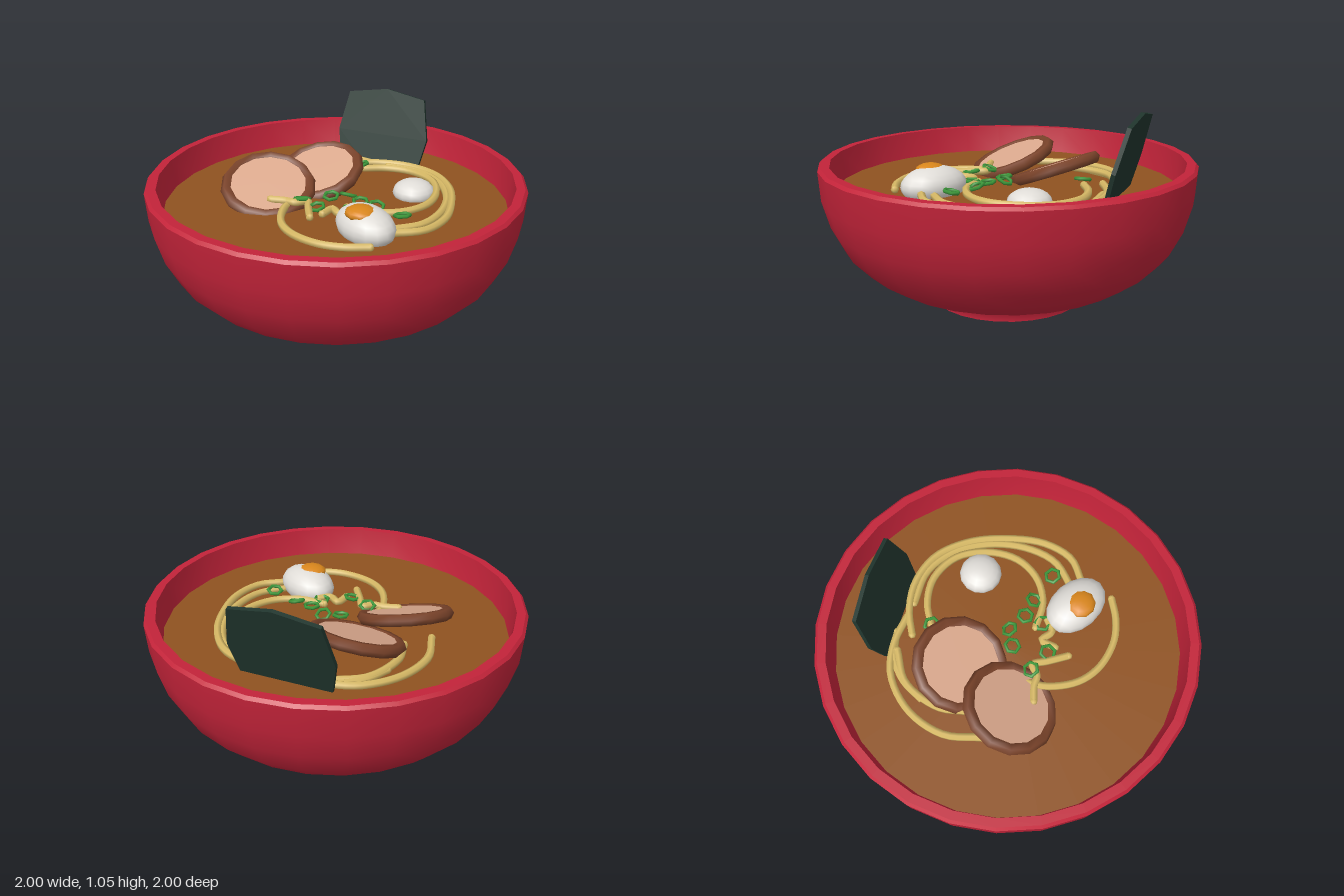
import * as THREE from 'three';

const paint = (name, color) => {
  const m = new THREE.MeshStandardMaterial({ color });
  m.name = name;
  return m;
};

export function createModel() {
  const red = paint('bowl red', 0xc22339);
  const brown = paint('broth brown', 0x8f5220);
  const yellow = paint('noodle yellow', 0xd8ba66);
  const pink = paint('pork pink', 0xdba98d);
  const rind = paint('rind brown', 0x7a432a);
  const white = paint('egg white', 0xe0ddd8);
  const orange = paint('yolk orange', 0xd9861c);
  const green = paint('scallion green', 0x3d993b);
  const dark = paint('seaweed green', 0x20352d);

  const model = new THREE.Group();
  model.name = 'noodleBowl';
  const add = (name, geometry, material, pos = [0, 0, 0], parent = model) => {
    const mesh = new THREE.Mesh(geometry, material);
    mesh.name = name;
    mesh.position.set(...pos);
    parent.add(mesh);
    return mesh;
  };

  // Bowl: foot, outer wall, flat rim and inner wall; repeated points keep creases
  const profile = [
    [0, 0], [0.42, 0], [0.42, 0], [0.42, 0.08], [0.54, 0.1], [0.68, 0.15], [0.79, 0.225],
    [0.885, 0.325], [0.95, 0.455], [0.99, 0.6], [1, 0.755], [1, 0.755], [0.985, 0.77], [0.985, 0.77],
    [0.94, 0.77], [0.94, 0.77], [0.915, 0.6], [0.86, 0.44], [0.7, 0.25], [0.42, 0.14], [0, 0.12],
  ].map(([x, y]) => new THREE.Vector2(x, y));
  add('bowl', new THREE.LatheGeometry(profile, 28), red);

  // Broth surface
  add('broth', new THREE.CircleGeometry(0.92, 28).rotateX(-Math.PI / 2), brown, [0, 0.617, 0]);

  // Noodles: [height, [x, z] points]
  const noodles = [
    [0.635, [[-0.53, 0.02], [-0.57, -0.18], [-0.5, -0.39], [-0.34, -0.54], [-0.16, -0.58], [0, -0.56]]],
    [0.635, [[-0.42, -0.1], [-0.44, -0.25], [-0.36, -0.45], [-0.2, -0.55]]],
    [0.63, [[-0.42, -0.35], [-0.35, -0.47], [-0.25, -0.55], [-0.1, -0.59]]],
    [0.645, [[-0.1, -0.5], [0.03, -0.56], [0.2, -0.58], [0.38, -0.52], [0.52, -0.36], [0.6, -0.14],
      [0.62, 0.04], [0.57, 0.2], [0.45, 0.29]]],
    [0.635, [[0.08, -0.55], [0.28, -0.54], [0.44, -0.43], [0.54, -0.25], [0.57, -0.05], [0.53, 0.12], [0.4, 0.25]]],
    [0.65, [[-0.02, -0.42], [0.1, -0.48], [0.25, -0.49], [0.4, -0.41], [0.48, -0.25], [0.48, -0.08],
      [0.4, 0.05], [0.27, 0.12], [0.12, 0.12]]],
    [0.64, [[-0.18, 0.12], [-0.18, 0.25], [-0.11, 0.41], [0, 0.5], [0.16, 0.54], [0.29, 0.52], [0.4, 0.47]]],
    [0.66, [[-0.28, 0.22], [-0.2, 0.2], [-0.14, 0.2], [-0.09, 0.16], [-0.05, 0.23], [0.01, 0.33]]],
    [0.65, [[0.04, 0.25], [0.06, 0.17], [0.12, 0.21], [0.18, 0.17]]],
  ];
  for (const [y, pts] of noodles) {
    const curve = new THREE.CatmullRomCurve3(pts.map(([x, z]) => new THREE.Vector3(x, y, z)));
    add('noodle', new THREE.TubeGeometry(curve, pts.length * 4, 0.021, 6), yellow);
    for (const t of [0, 1]) add('noodleEnd', new THREE.SphereGeometry(0.021, 6, 4), yellow, curve.getPoint(t).toArray());
  }

  // Pork slices: pale disc inside a round rind, leaning on the noodles
  const up = new THREE.Vector3(0, 1, 0);
  for (const [pos, normal] of [
    [[-0.2, 0.68, -0.2], [-0.08, 0.92, 0.34]],
    [[-0.35, 0.685, 0.115], [0.2, 0.92, 0.31]],
  ]) {
    const slice = new THREE.Group();
    slice.name = 'porkSlice';
    add('sliceMeat', new THREE.CylinderGeometry(0.225, 0.225, 0.046, 14), pink, [0, 0, 0], slice);
    add('sliceRind', new THREE.TorusGeometry(0.225, 0.034, 6, 14).rotateX(Math.PI / 2).rotateY(Math.PI / 2), rind, [0, 0, 0], slice);
    slice.position.set(...pos);
    slice.quaternion.setFromUnitVectors(up, new THREE.Vector3(...normal).normalize());
    model.add(slice);
  }

  // Egg with yolk, and a smaller piece of egg
  const egg = add('eggWhite', new THREE.SphereGeometry(1, 16, 12), white, [0.3, 0.66, 0.295]);
  egg.scale.set(0.185, 0.1, 0.13);
  egg.rotation.y = -0.55;
  const yolk = add('eggYolk', new THREE.SphereGeometry(1, 10, 8), orange, [0.285, 0.735, 0.32]);
  yolk.scale.set(0.082, 0.035, 0.078);
  const piece = add('eggPiece', new THREE.SphereGeometry(1, 14, 10), white, [0.35, 0.635, -0.255]);
  piece.scale.set(0.115, 0.07, 0.115);

  // Scallion rings
  const rings = [
    [-0.03, 0.68, -0.41], [-0.015, 0.655, 0.03], [0.07, 0.66, -0.01], [0.165, 0.665, 0.05], [0.265, 0.665, 0.07],
    [0.43, 0.67, 0.13], [-0.005, 0.67, 0.22], [0.15, 0.66, 0.15], [-0.12, 0.67, 0.16],
  ];
  rings.forEach((pos, i) => {
    const ring = add('scallionRing', new THREE.TorusGeometry(0.039, 0.01, 5, 6).rotateX(Math.PI / 2), green, pos);
    ring.rotation.set(0.25 * Math.sin(i * 2.1), i * 0.7, 0.25 * Math.cos(i * 1.7));
  });

  // Seaweed sheet leaning back against the far side
  const sheet = new THREE.Shape([
    [0, -0.27], [0.235, -0.23], [0.28, 0], [0.235, 0.23], [0, 0.27], [-0.235, 0.23], [-0.28, 0], [-0.235, -0.23],
  ].map(([x, y]) => new THREE.Vector2(x, y)));
  const seaweed = add('seaweedSheet',
    new THREE.ExtrudeGeometry(sheet, { depth: 0.022, bevelEnabled: false }).translate(0, 0, -0.011), dark, [0, 0.79, -0.65]);
  seaweed.rotation.x = -0.26;

  return model;
}
